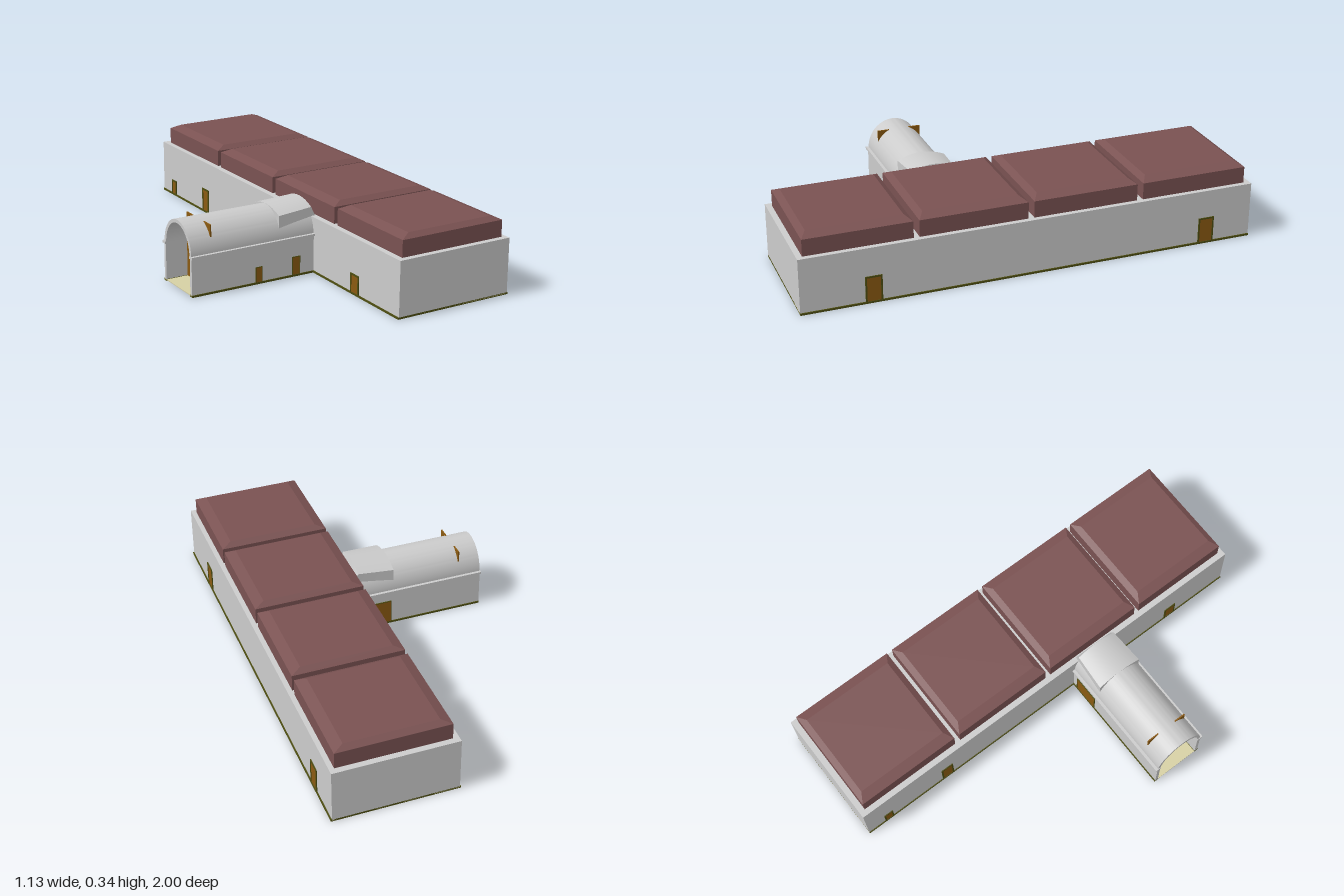
import * as THREE from 'three';
import { toCreasedNormals } from 'three/addons/utils/BufferGeometryUtils.js';

const mat = (color) => new THREE.MeshStandardMaterial({ color });
const grey = mat(0xcccccc);
const roofRed = mat(0x7a5252);
const brown = mat(0x8a5a12);
const olive = mat(0x4e4e12);
const floorTan = mat(0xd6d0a4);

const HALL = { x0: 0.02, x1: 0.56, z0: -1, z1: 1, top: 0.245 };
const ANNEX = { x0: -0.565, x1: 0.02, z0: 0.137, z1: 0.377, eave: 0.172 };
const AXIS = 0.257; // z of the annex centre line

export function createModel() {
  const model = new THREE.Group();

  const add = (name, geometry, material, parent = model) => {
    const mesh = new THREE.Mesh(geometry, material);
    mesh.name = name;
    parent.add(mesh);
    return mesh;
  };

  // Box given by its minimum and maximum corners
  const box = (name, x0, x1, y0, y1, z0, z1, material, parent) => {
    const mesh = add(name, new THREE.BoxGeometry(x1 - x0, y1 - y0, z1 - z0), material, parent);
    mesh.position.set((x0 + x1) / 2, (y0 + y1) / 2, (z0 + z1) / 2);
    return mesh;
  };

  // Floors, lying just above the foundation strips
  box('hallFloor', HALL.x0, HALL.x1, 0.004, 0.008, HALL.z0, HALL.z1, floorTan);
  box('annexFloor', ANNEX.x0, ANNEX.x1, 0.004, 0.008, ANNEX.z0, ANNEX.z1, floorTan);

  // Foundation strips under the walls and partitions
  const foundation = new THREE.Group();
  foundation.name = 'foundation';
  model.add(foundation);
  const strip = (x0, x1, z0, z1) => box('foundationStrip', x0, x1, 0, 0.0085, z0, z1, olive, foundation);
  strip(0.016, 0.04, -1, 1);
  strip(0.54, 0.565, -1, 1);
  strip(0.04, 0.54, -1, -0.975);
  strip(0.04, 0.54, 0.975, 1);
  for (const z of [-0.48, 0.01, 0.5]) {
    strip(0.04, 0.17, z - 0.012, z + 0.012);
    strip(0.41, 0.54, z - 0.012, z + 0.012);
  }
  strip(ANNEX.x0, 0.016, 0.133, 0.155);
  strip(ANNEX.x0, 0.016, 0.36, 0.381);

  // Long hall
  box('hallWalls', HALL.x0, HALL.x1, 0.0085, HALL.top, HALL.z0, HALL.z1, grey);

  // Four roof blocks with bevelled tops
  const roofBlock = (z0, z1) => {
    const [x0, x1, y0, yMid, y1] = [0.046, 0.538, HALL.top, 0.318, 0.335];
    const geo = new THREE.BoxGeometry(x1 - x0, 2, z1 - z0, 1, 2, 1);
    const p = geo.attributes.position;
    for (let i = 0; i < p.count; i++) {
      const level = Math.round(p.getY(i)) + 1;
      p.setY(i, [y0, yMid, y1][level]);
      if (level === 2) {
        p.setX(i, p.getX(i) - Math.sign(p.getX(i)) * 0.045);
        p.setZ(i, p.getZ(i) - Math.sign(p.getZ(i)) * 0.027);
      }
    }
    add('roofBlock', toCreasedNormals(geo, 0.1), roofRed).position.set((x0 + x1) / 2, 0, (z0 + z1) / 2);
  };
  [[-0.973, -0.495], [-0.468, -0.003], [0.023, 0.492], [0.517, 0.975]].forEach(([a, b]) => roofBlock(a, b));

  // Annex side walls with a small eave ledge
  box('annexWall', ANNEX.x0, ANNEX.x1, 0.0085, ANNEX.eave, ANNEX.z0, ANNEX.z0 + 0.015, grey);
  box('annexWall', ANNEX.x0, ANNEX.x1, 0.0085, ANNEX.eave, ANNEX.z1 - 0.015, ANNEX.z1, grey);
  box('annexEave', -0.568, ANNEX.x1, 0.165, 0.175, 0.127, 0.152, grey);
  box('annexEave', -0.568, ANNEX.x1, 0.165, 0.175, 0.362, 0.387, grey);

  // Barrel vault, an arched ring swept along the annex
  const arch = new THREE.Shape();
  arch.absellipse(0, 0, 0.117, 0.128, 0, Math.PI, false);
  arch.absellipse(0, 0, 0.102, 0.113, Math.PI, 0, true);
  arch.closePath();
  const vaultGeo = new THREE.ExtrudeGeometry(arch, {
    depth: ANNEX.x1 - ANNEX.x0, bevelEnabled: false, curveSegments: 24,
  });
  vaultGeo.rotateY(-Math.PI / 2);
  add('annexVault', toCreasedNormals(vaultGeo, 0.6), grey).position.set(ANNEX.x1, ANNEX.eave, AXIS);

  // Cowl joining the vault to the hall: upright sides and a shallow arched top
  const cowlSections = [
    { x: -0.145, w: 0.108, side: 0.275, top: 0.301 },
    { x: 0.02, w: 0.097, side: 0.285, top: 0.311 },
    { x: 0.04, w: 0.097, side: 0.245, top: 0.247 },
  ];
  const n = 12;
  const ring = ({ x, w, side, top }) => {
    const pts = [[x, 0.175, -w]];
    for (let i = 0; i <= n; i++) {
      const t = (2 * i) / n - 1;
      pts.push([x, side + (top - side) * (1 - t * t), w * t]);
    }
    pts.push([x, 0.175, w]);
    return pts;
  };
  const rings = cowlSections.map(ring);
  const count = rings[0].length;
  const index = [];
  for (let r = 0; r < rings.length - 1; r++) {
    for (let i = 0; i < count - 1; i++) {
      const a = r * count + i;
      const b = a + count;
      index.push(a, a + 1, b, a + 1, b + 1, b);
    }
  }
  for (let i = 1; i < count - 1; i++) index.push(0, i + 1, i); // closed outer end
  const cowlGeo = new THREE.BufferGeometry();
  cowlGeo.setAttribute('position', new THREE.Float32BufferAttribute(rings.flat(2), 3));
  cowlGeo.setIndex(index);
  const cowlMat = new THREE.MeshStandardMaterial({ color: 0xcccccc, side: THREE.DoubleSide });
  add('annexCowl', toCreasedNormals(cowlGeo, 0.5), cowlMat).position.z = AXIS;

  // Gate set back inside the open end, its corners reaching through the vault
  box('annexGate', -0.468, -0.462, 0.0085, 0.29, 0.157, 0.357, brown);

  // Framed door: a leaf in a slightly larger frame, facing +z before turning
  const door = (name, x, z, width, height, turn, rim = 0.007) => {
    const group = new THREE.Group();
    group.name = name;
    const w = width / 2;
    box('doorJamb', -w, -w + rim, 0.006, height, -0.004, 0.004, olive, group);
    box('doorJamb', w - rim, w, 0.006, height, -0.004, 0.004, olive, group);
    box('doorLintel', -w, w, height - rim, height, -0.004, 0.004, olive, group);
    box('doorLeaf', -w + rim, w - rim, 0.006, height - rim, -0.003, 0.002, brown, group);
    group.position.set(x, 0, z);
    group.rotation.y = turn;
    model.add(group);
  };
  const right = Math.PI / 2;
  door('hallDoor', HALL.x1, 0.695, 0.072, 0.12, right);
  door('hallDoor', HALL.x1, -0.79, 0.072, 0.12, right);
  door('hallRearDoor', HALL.x0, -0.89, 0.045, 0.075, -right);
  door('hallRearDoor', HALL.x0, -0.57, 0.06, 0.115, -right);
  door('hallRearDoor', HALL.x0, 0.69, 0.06, 0.09, -right);
  door('annexFrontDoor', -0.25, ANNEX.z1, 0.032, 0.075, 0, 0.002);
  door('annexFrontDoor', -0.068, ANNEX.z1, 0.038, 0.088, 0, 0.002);
  door('annexBackDoor', -0.068, ANNEX.z0, 0.125, 0.12, Math.PI, 0.003);

  return model;
}
